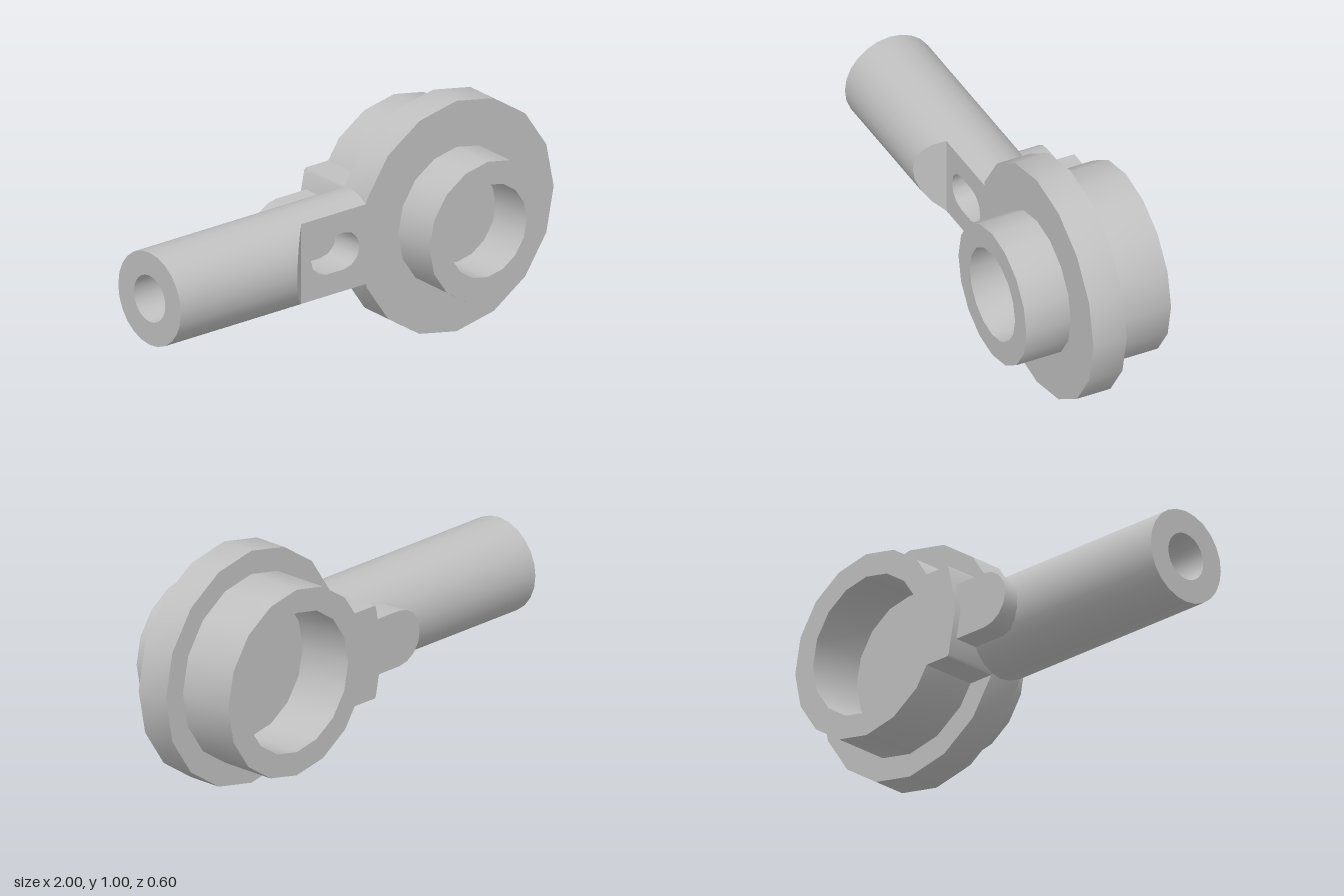
import * as THREE from 'three';
import { toCreasedNormals } from 'three/addons/utils/BufferGeometryUtils.js';

const metal = new THREE.MeshStandardMaterial({ color: 0xc0c0c0 });
metal.name = 'grey metal';

const R = 0.2;        // arm radius
const FLAT = 0.1;     // z of the flat on the arm
const ARC = Math.PI / 3; // half angle of the arm removed by the flat

const v2 = (pts) => pts.map(([x, y]) => new THREE.Vector2(x, y));

function lathe(points, sides) {
  return toCreasedNormals(new THREE.LatheGeometry(v2(points), sides), 0.7);
}

// extrude an x/y shape between two z positions
function slab(shape, z0, z1, curveSegments = 4) {
  const g = new THREE.ExtrudeGeometry(shape, { depth: z1 - z0, bevelEnabled: false, curveSegments });
  return toCreasedNormals(g.translate(0, 0, z0), 0.85);
}

// slice of the arm surface, with its right end placed by a rule of z
function armSurface(start, length, sides, endX) {
  const g = new THREE.CylinderGeometry(R, R, 2, sides, 1, true, start, length).rotateZ(Math.PI / 2);
  const p = g.attributes.position;
  for (let i = 0; i < p.count; i++) {
    if (p.getX(i) > 0) p.setX(i, endX(p.getZ(i)));
  }
  return g;
}

// rounded slot outline
function slotPath(x0, x1, r) {
  const s = new THREE.Shape();
  s.absarc(x1 - r, 0, r, -Math.PI / 2, Math.PI / 2, false);
  s.absarc(x0 + r, 0, r, Math.PI / 2, Math.PI * 1.5, false);
  s.closePath();
  return s;
}

export function createModel() {
  const group = new THREE.Group();
  const body = new THREE.Group();
  body.name = 'rodEnd';
  body.position.y = 0.5;
  group.add(body);

  const add = (name, geometry) => {
    const m = new THREE.Mesh(geometry, metal);
    m.name = name;
    body.add(m);
    return m;
  };

  // round head: flange, front boss and back ring with blind holes
  const head = lathe([
    [0, -0.05], [0.3, -0.05], [0.3, -0.3], [0.4, -0.3], [0.4, -0.05], [0.5, -0.05],
    [0.5, 0.1], [0.3, 0.1], [0.3, 0.3], [0.2, 0.3], [0.2, 0.1], [0, 0.1],
  ], 16).rotateX(Math.PI / 2);
  add('head', head).position.x = 0.5;

  // lobe joining the back ring to the arm
  const lobe = new THREE.Shape(v2([
    [0.17, 0.2], [0.044, 0.2], [0.038, 0.191], [0, 0],
    [0.038, -0.191], [0.044, -0.2], [0.17, -0.2],
  ]));
  add('ringLobe', slab(lobe, -0.3, -0.04));

  // arm, cut away at the front near the head
  add('armBack', armSurface(ARC, 2 * Math.PI - 2 * ARC, 16, () => 0.1));
  add('armFront', armSurface(-ARC, 2 * ARC, 8, (z) => -0.2 - z));

  // arm end face and bore
  add('armBore', lathe([[0, -0.32], [0.1, -0.32], [0.1, -1], [R, -1]], 24).rotateZ(-Math.PI / 2));

  // sloping face between the round arm and the flat
  const arc = [];
  for (let k = -4; k <= 4; k++) {
    const a = (k * ARC) / 4;
    arc.push([R * Math.sin(a), R * Math.cos(a)]);
  }
  const slope = new THREE.ShapeGeometry(new THREE.Shape(v2(arc)));
  const p = slope.attributes.position;
  for (let i = 0; i < p.count; i++) {
    const y = p.getX(i), z = p.getY(i);
    p.setXYZ(i, -0.2 - z, y, z);
  }
  slope.computeVertexNormals();
  add('armSlope', slope);

  // flat with a slot sunk into it
  const w = R * Math.sin(ARC);
  const flat = new THREE.Shape(v2([[-0.3, -w], [0.05, -w], [0.05, w], [-0.3, w]]));
  const slot = slotPath(-0.25, 0, 0.08);
  flat.holes.push(slot);
  add('armFlat', slab(flat, -0.05, FLAT, 3));
  add('slotFloor', new THREE.ShapeGeometry(slotPath(-0.25, 0, 0.08), 3).translate(0, 0, -0.05));

  // rounded tab on the back of the arm
  const tab = new THREE.Shape();
  tab.moveTo(0.06, -0.12);
  tab.lineTo(0.06, 0.12);
  tab.absarc(-0.13, 0, 0.12, Math.PI / 2, Math.PI * 1.5, false);
  tab.closePath();
  add('backTab', slab(tab, -0.27, -0.1, 4));

  return group;
}
